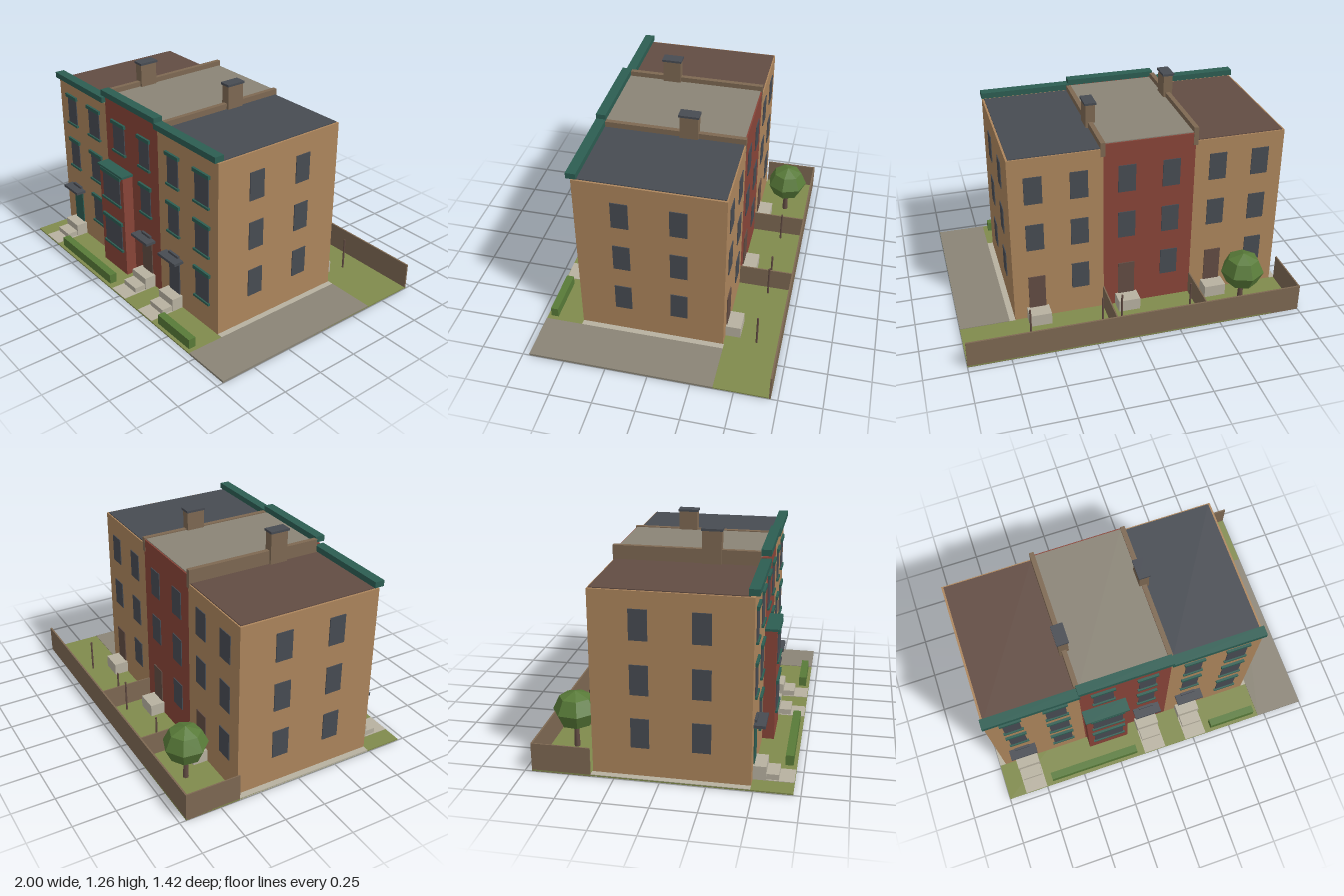
import * as THREE from 'three';

const paint = (name, color) => {
  const m = new THREE.MeshStandardMaterial({ color });
  m.name = name;
  return m;
};

export function createModel() {
  const tan = paint('tanBrick', 0xac855c);
  const red = paint('redBrick', 0x884438);
  const teal = paint('tealTrim', 0x2c5d52);
  const slate = paint('slate', 0x474b52);
  const timber = paint('weatheredBrown', 0x7d6852);
  const umber = paint('darkBrown', 0x624c43);
  const gravel = paint('grey', 0x8a8476);
  const stone = paint('paleStone', 0xb7b1a0);
  const grass = paint('grass', 0x808a4c);
  const leaf = paint('foliage', 0x587a38);

  const model = new THREE.Group();
  model.name = 'rowHouses';

  // Box given by its min and max on each axis
  const box = (name, mat, x0, x1, y0, y1, z0, z1, parent = model) => {
    const mesh = new THREE.Mesh(new THREE.BoxGeometry(x1 - x0, y1 - y0, z1 - z0), mat);
    mesh.position.set((x0 + x1) / 2, (y0 + y1) / 2, (z0 + z1) / 2);
    mesh.name = name;
    parent.add(mesh);
    return mesh;
  };
  const group = (name) => {
    const g = new THREE.Group();
    g.name = name;
    model.add(g);
    return g;
  };

  const FRONT = 0.485, BACK = -0.375, LEFT = 0.67, RIGHT = -0.963;
  const rows = [0.18, 0.485, 0.79], WIN_H = 0.17;

  // Plot: lawn, driveway and side paths
  box('lawn', grass, -1, 1, 0.002, 0.01, -0.71, 0.71);
  box('driveway', gravel, 0.705, 1, 0, 0.013, -0.38, 0.71);
  box('sidePath', stone, LEFT, 0.705, 0.003, 0.013, -0.38, 0.485);
  box('sidePath', stone, -1, RIGHT, 0.003, 0.013, -0.38, 0.485);

  // Window facing the street, with lintel and sill
  const frontWindow = (g, x, w, y, z) => {
    box('window', slate, x - w / 2, x + w / 2, y, y + WIN_H, z, z + 0.005, g);
    box('lintel', teal, x - w / 2 - 0.013, x + w / 2 + 0.013, y + WIN_H, y + WIN_H + 0.022, z, z + 0.014, g);
    box('sill', teal, x - w / 2 - 0.01, x + w / 2 + 0.01, y - 0.013, y, z, z + 0.014, g);
  };

  // Front door with hood, steps and path
  const entrance = (g, x, mat) => {
    box('frontDoor', mat, x - 0.05, x + 0.05, 0.09, 0.3, FRONT, FRONT + 0.006, g);
    box('doorHood', slate, x - 0.083, x + 0.083, 0.318, 0.335, FRONT, 0.548, g);
    box('hoodCap', slate, x - 0.045, x + 0.045, 0.335, 0.35, FRONT, FRONT + 0.014, g);
    box('upperStep', stone, x - 0.07, x + 0.07, 0, 0.09, FRONT, 0.557, g);
    box('lowerStep', stone, x - 0.062, x + 0.062, 0, 0.045, 0.557, 0.625, g);
    box('frontPath', stone, x - 0.07, x + 0.07, 0.003, 0.013, 0.557, 0.708, g);
  };

  // doorX and wideX are the two window columns
  const houses = [
    { name: 'rightHouse', x0: RIGHT, x1: -0.418, top: 1.055, wall: tan, roof: umber, door: teal, doorX: -0.82, wideX: -0.56 },
    { name: 'middleHouse', x0: -0.418, x1: 0.125, top: 1.105, wall: red, roof: gravel, door: umber, doorX: -0.013, wideX: -0.278, bay: true },
    { name: 'leftHouse', x0: 0.125, x1: LEFT, top: 1.076, wall: tan, roof: slate, door: slate, doorX: 0.267, wideX: 0.53 },
  ];
  for (const h of houses) {
    const g = group(h.name);
    box('walls', h.wall, h.x0, h.x1, 0, h.top, BACK, FRONT, g);
    box('roof', h.roof, h.x0 + 0.012, h.x1 - 0.012, h.top, h.top + 0.005, BACK + 0.008, 0.46, g);
    box('cornice', teal, h.x0 - 0.004, h.x1 + 0.004, h.top + 0.01, h.top + 0.045, 0.452, 0.51, g);
    entrance(g, h.doorX, h.door);

    // Street windows
    rows.forEach((y, i) => {
      if (i > 0) frontWindow(g, h.doorX, 0.1, y, FRONT);
      if (!h.bay || i === 2) frontWindow(g, h.wideX, 0.12, y, FRONT);
    });

    // Two-storey bay
    if (h.bay) {
      box('bay', red, -0.41, -0.153, 0, 0.678, FRONT, 0.553, g);
      box('bayRoof', teal, -0.416, -0.145, 0.678, 0.692, FRONT, 0.565, g);
      for (const y of rows.slice(0, 2)) frontWindow(g, h.wideX, 0.185, y - (y > 0.4 ? 0 : 0.005), 0.553);
    }

    // Garden side: back door under the column nearer the model's left
    const columns = [h.doorX, h.wideX].sort((a, b) => b - a);
    columns.forEach((x, c) => rows.forEach((y, i) => {
      if (c === 0 && i === 0) {
        box('backDoor', umber, x - 0.05, x + 0.05, 0.085, 0.3, BACK - 0.006, BACK, g);
        box('backStep', stone, x - 0.066, x + 0.066, 0, 0.085, -0.465, BACK, g);
      } else {
        box('backWindow', slate, x - 0.052, x + 0.052, y, y + WIN_H, BACK - 0.005, BACK, g);
      }
    }));
  }

  // Plain windows on both end walls
  const ends = group('endWindows');
  for (const z of [0.222, -0.11]) for (const y of rows) {
    box('endWindow', slate, LEFT, LEFT + 0.005, y, y + WIN_H, z - 0.05, z + 0.05, ends);
    box('endWindow', slate, RIGHT - 0.005, RIGHT, y, y + WIN_H, z - 0.05, z + 0.05, ends);
  }

  // Party walls, each with a capped chimney
  for (const [x, top, z] of [[-0.418, 1.14, 0.185], [0.128, 1.115, -0.047]]) {
    const g = group('partyWall');
    box('parapet', timber, x - 0.014, x + 0.014, 1.03, top, BACK - 0.002, 0.453, g);
    box('chimney', timber, x - 0.028, x + 0.028, 1.06, top + 0.107, z - 0.054, z + 0.054, g);
    box('chimneyCap', slate, x - 0.035, x + 0.035, top + 0.107, top + 0.12, z - 0.06, z + 0.06, g);
  }

  // Garden fences
  const fence = group('fence');
  box('backFence', timber, -1, 1, 0, 0.168, -0.71, -0.7, fence);
  box('sideFence', timber, -1, -0.992, 0, 0.168, -0.7, -0.38, fence);
  for (const x of [-0.418, 0.126]) box('gardenDivider', timber, x - 0.004, x + 0.004, 0, 0.15, -0.7, BACK, fence);

  // Hedges by the street
  box('hedge', leaf, -0.705, -0.132, 0.005, 0.07, 0.645, 0.69);
  box('hedge', leaf, 0.378, 0.675, 0.005, 0.07, 0.645, 0.69);

  // Washing line posts
  const post = new THREE.CylinderGeometry(0.006, 0.006, 0.205, 6);
  for (const x of [-0.36, 0.065, 0.182, 0.61]) {
    const m = new THREE.Mesh(post, umber);
    m.name = 'washingPost';
    m.position.set(x, 0.108, -0.565);
    model.add(m);
  }

  // Garden tree with faceted crown
  const tree = group('tree');
  tree.position.set(-0.69, 0, -0.548);
  const trunk = new THREE.Mesh(new THREE.CylinderGeometry(0.013, 0.018, 0.16, 6), umber);
  trunk.name = 'trunk';
  trunk.position.y = 0.085;
  leaf.flatShading = true;
  const crown = new THREE.Mesh(new THREE.SphereGeometry(0.13, 7, 4), leaf);
  crown.name = 'crown';
  crown.scale.y = 0.88;
  crown.position.y = 0.24;
  crown.rotation.y = 0.33;
  tree.add(trunk, crown);

  return model;
}
